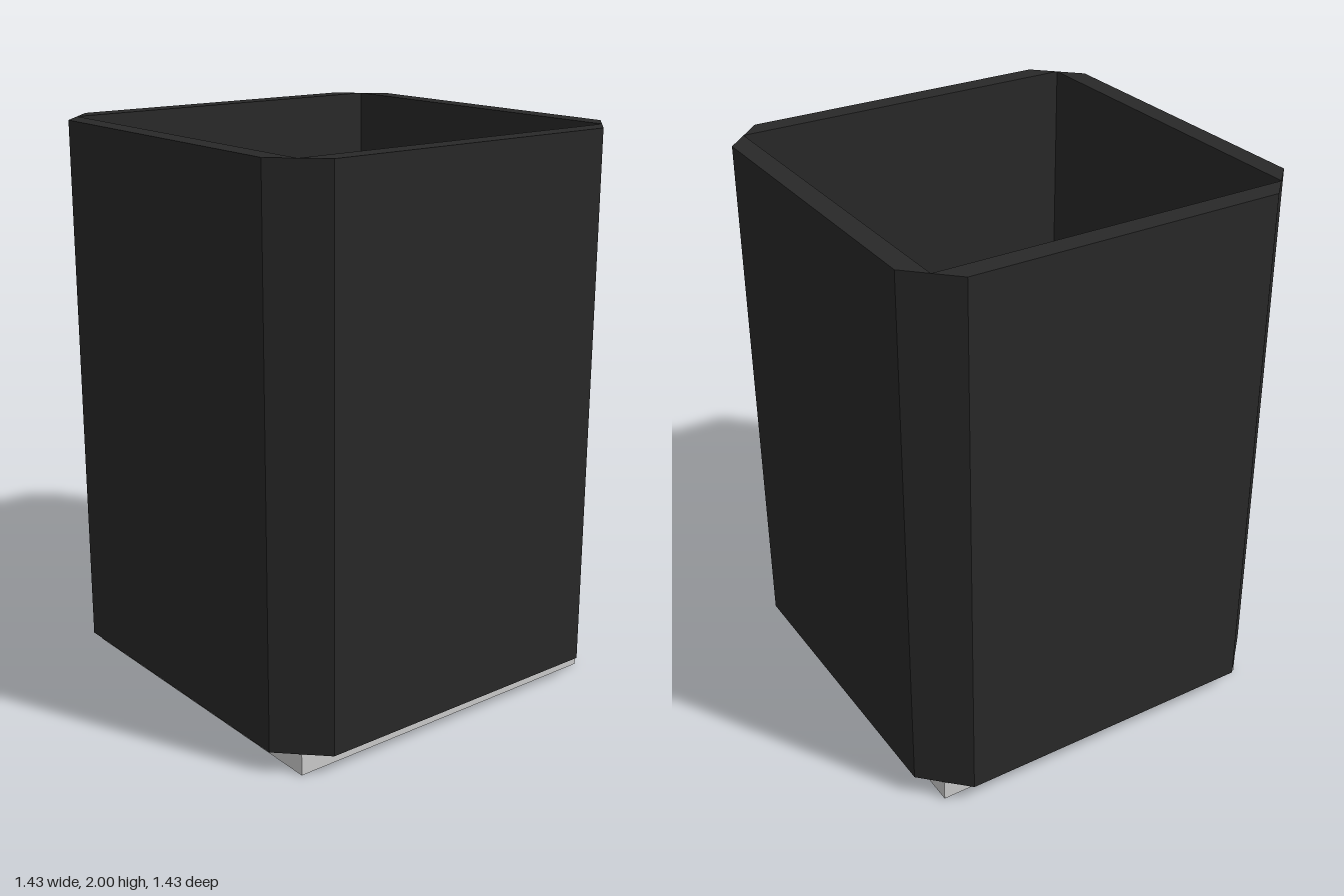
import * as THREE from 'three';

const INNER = 0.639;     // half width of the inside
const THICK = 0.075;     // wall thickness
const BASE_H = 0.077;
const HEIGHT = 2;

export function createModel() {
  const model = new THREE.Group();
  model.name = 'openBin';
  const dark = new THREE.MeshStandardMaterial({ color: 0x282828, flatShading: true });
  const grey = new THREE.MeshStandardMaterial({ color: 0xcccccc, flatShading: true });

  // square floor slab the walls stand on
  const base = new THREE.Mesh(new THREE.BoxGeometry(INNER * 2, BASE_H, INNER * 2), grey);
  base.name = 'base';
  base.position.y = BASE_H / 2;
  model.add(base);

  // wall panel with bevelled ends, narrower on the outside
  const section = new THREE.Shape([
    new THREE.Vector2(-INNER, -INNER),
    new THREE.Vector2(-INNER + THICK, -INNER - THICK),
    new THREE.Vector2(INNER - THICK, -INNER - THICK),
    new THREE.Vector2(INNER, -INNER),
  ]);
  const wallGeometry = new THREE.ExtrudeGeometry(section, { depth: HEIGHT - BASE_H, bevelEnabled: false });
  wallGeometry.rotateX(-Math.PI / 2);

  // one panel per side, turned about the centre
  ['frontWall', 'leftWall', 'backWall', 'rightWall'].forEach((name, i) => {
    const wall = new THREE.Mesh(wallGeometry, dark);
    wall.name = name;
    wall.position.y = BASE_H;
    wall.rotation.y = i * Math.PI / 2;
    model.add(wall);
  });

  return model;
}
